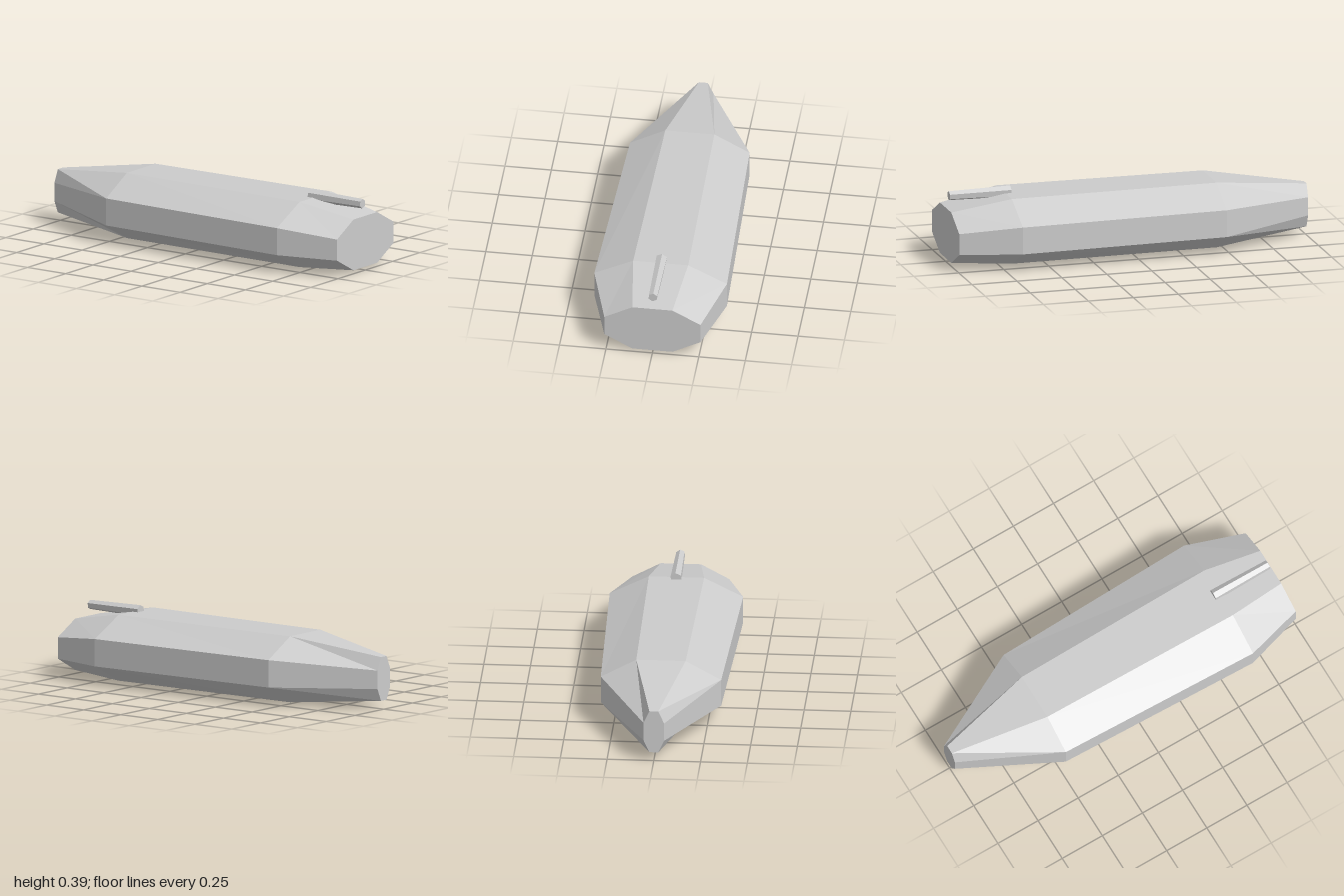
import * as THREE from 'three';

// Octagonal hull section, counter-clockwise as seen from the front
function section(z, wide, narrow, y0, y1, y2, y3) {
  return [
    [wide, y1, z], [wide, y2, z], [narrow, y3, z], [-narrow, y3, z],
    [-wide, y2, z], [-wide, y1, z], [-narrow, y0, z], [narrow, y0, z],
  ];
}

// Joins sections from front to back and closes both ends
function loft(rings) {
  const n = rings[0].length;
  const pos = [];
  const tri = (a, b, c) => pos.push(...a, ...b, ...c);
  for (let k = 0; k < rings.length - 1; k++) {
    const a = rings[k], b = rings[k + 1];
    for (let i = 0; i < n; i++) {
      const j = (i + 1) % n;
      tri(a[i], b[i], a[j]);
      tri(a[j], b[i], b[j]);
    }
  }
  const front = rings[0], back = rings[rings.length - 1];
  for (let i = 1; i < n - 1; i++) {
    tri(front[0], front[i], front[i + 1]);
    tri(back[0], back[i + 1], back[i]);
  }
  const geometry = new THREE.BufferGeometry();
  geometry.setAttribute('position', new THREE.Float32BufferAttribute(pos, 3));
  geometry.computeVertexNormals();
  return geometry;
}

export function createModel() {
  const group = new THREE.Group();
  const grey = new THREE.MeshStandardMaterial({ color: 0xcccccc, flatShading: true });
  grey.name = 'light grey';

  // Faceted hull: blunt nose, long body, narrow tail
  const hull = new THREE.Mesh(loft([
    section(1, 0.259, 0.108, 0.019, 0.1, 0.216, 0.297),
    section(0.675, 0.357, 0.148, 0, 0.105, 0.253, 0.357),
    section(-0.47, 0.322, 0.132, 0, 0.105, 0.253, 0.357),
    section(-1, 0.055, 0.024, 0.048, 0.116, 0.216, 0.285),
  ]), grey);
  hull.name = 'hull';
  group.add(hull);

  // Tapered six-sided barrel lying on top of the nose
  const barrelGeometry = new THREE.CylinderGeometry(0.0255, 0.032, 0.34, 6);
  barrelGeometry.rotateX(Math.PI / 2).rotateZ(-0.1);
  const barrel = new THREE.Mesh(barrelGeometry, grey);
  barrel.name = 'barrel';
  barrel.position.set(0, 0.361, 0.812);
  group.add(barrel);

  return group;
}
